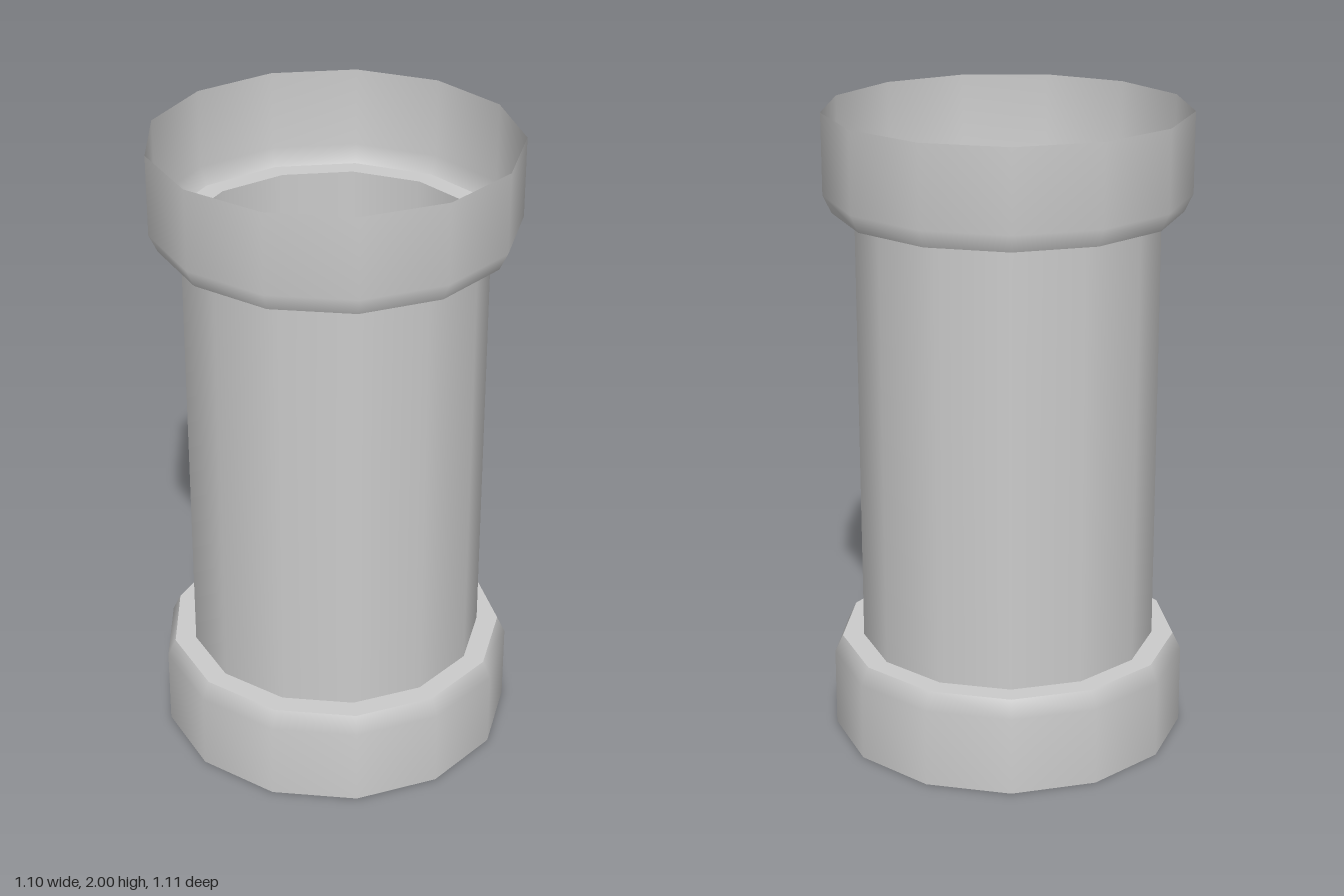
import * as THREE from 'three';

const SIDES = 13;
const R_PIPE = 0.466, R_LIP = 0.534, R_COLLAR = 0.56;
const Y_BEVEL = 0.25, Y_LEDGE = 0.305, HEIGHT = 2;

export function createModel() {
  const group = new THREE.Group();
  const material = new THREE.MeshStandardMaterial({ color: 0xcccccc, side: THREE.DoubleSide });

  // Open 13-sided shell; profile runs upwards so normals face outwards
  const shell = (name, profile) => {
    const points = profile.map(([r, y]) => new THREE.Vector2(r, y));
    const mesh = new THREE.Mesh(new THREE.LatheGeometry(points, SIDES, Math.PI / 2), material);
    mesh.name = name;
    group.add(mesh);
  };

  // Collar walls with a bevelled edge towards the pipe, open at the ends
  const collar = [[R_COLLAR, 0], [R_COLLAR, Y_BEVEL], [R_LIP, Y_LEDGE]];
  // Flat ring joining collar and pipe, kept separate for a sharp edge
  const ledge = [[R_LIP, Y_LEDGE], [R_PIPE, Y_LEDGE]];
  const flip = (profile) => profile.map(([r, y]) => [r, HEIGHT - y]).reverse();

  shell('bottomCollar', collar);
  shell('bottomLedge', ledge);
  shell('pipe', [[R_PIPE, Y_LEDGE], [R_PIPE, HEIGHT - Y_LEDGE]]);
  shell('topLedge', flip(ledge));
  shell('topCollar', flip(collar));

  // An odd number of sides is lopsided in x, so centre the bounds
  const shift = -R_COLLAR * (1 - Math.cos(Math.PI / SIDES)) / 2;
  group.children.forEach((mesh) => { mesh.position.x = shift; });
  return group;
}
